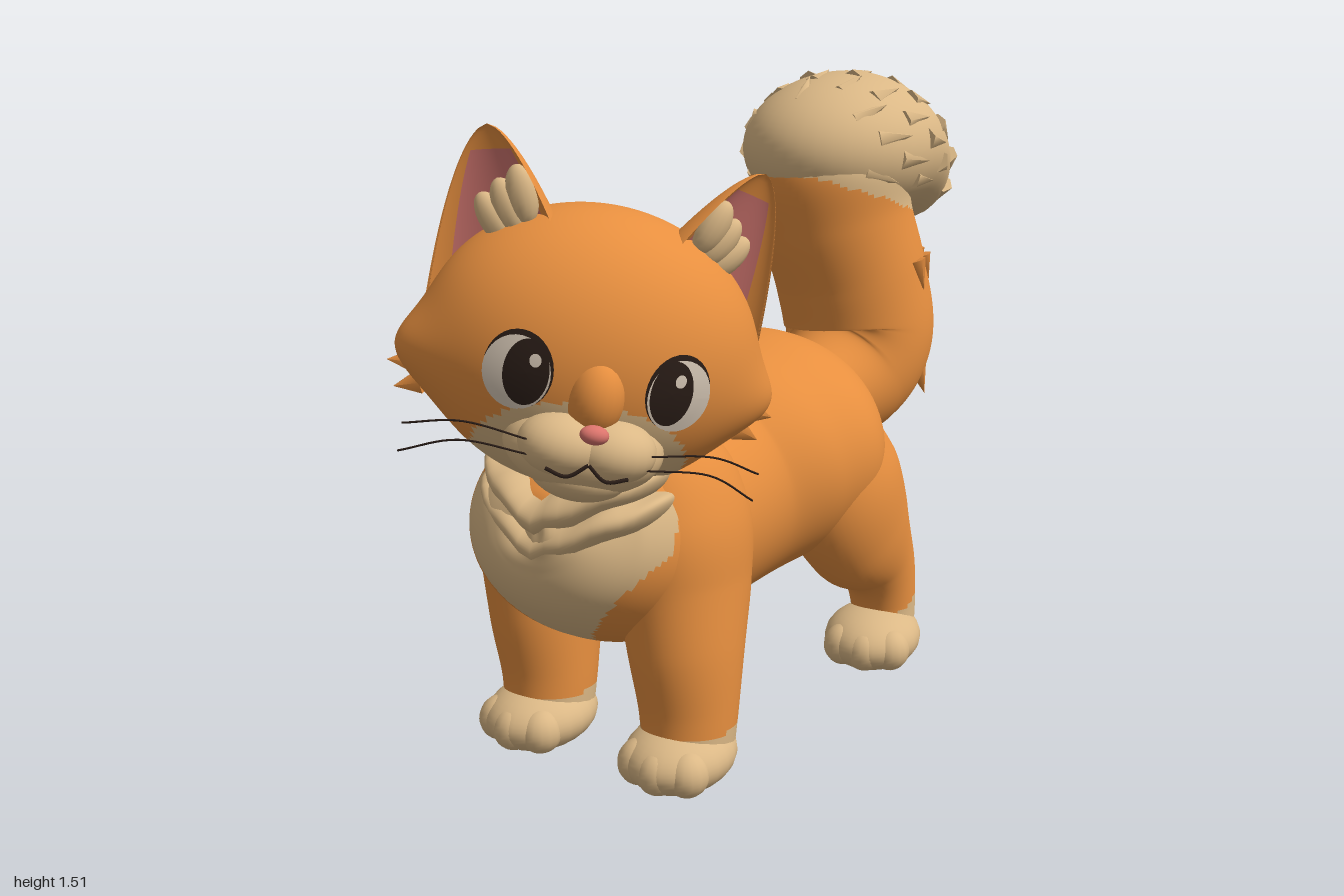
import * as THREE from 'three';

const mat = (name, color) => {
  const m = new THREE.MeshStandardMaterial({ color });
  m.name = name;
  return m;
};
const orange = mat('orange fur', 0xe78f3f);
const cream = mat('cream fur', 0xdbb886);
const pink = mat('inner ear pink', 0xd27670);
const nosePink = mat('nose pink', 0xdb746c);
const dark = mat('dark brown', 0x2a1d17);
const eyeWhite = mat('eye white', 0xd9cab8);
const V = (x, y, z) => new THREE.Vector3(x, y, z);

// Closed-in-u grid surface; rule(point, u, v) picks a material index per quad
function surface(name, fn, nu, nv, mats, rule = () => 0) {
  const pos = [], faces = [[], []];
  for (let j = 0; j <= nv; j++)
    for (let i = 0; i < nu; i++) pos.push(...fn(i / nu, j / nv).toArray());
  for (let j = 0; j < nv; j++)
    for (let i = 0; i < nu; i++) {
      const k = (i + 1) % nu;
      const a = j * nu + i, b = j * nu + k, c = b + nu, d = a + nu;
      const u = (i + 0.5) / nu, v = (j + 0.5) / nv;
      faces[rule(fn(u, v), u, v)].push(a, b, c, a, c, d);
    }
  const g = new THREE.BufferGeometry();
  g.setAttribute('position', new THREE.Float32BufferAttribute(pos, 3));
  g.setIndex([...faces[0], ...faces[1]]);
  g.addGroup(0, faces[0].length, 0);
  if (faces[1].length) g.addGroup(faces[0].length, faces[1].length, 1);
  g.computeVertexNormals();
  const mesh = new THREE.Mesh(g, mats);
  mesh.name = name;
  return mesh;
}

// Elliptical tube through stations [x, y, z, radiusAcross, radiusOther]
function loft(name, stations, mats, rule, nu = 48, nv = 64) {
  const curve = (f) => new THREE.CatmullRomCurve3(stations.map(f), false, 'catmullrom', 0.5);
  const path = curve((s) => V(s[0], s[1], s[2])), radii = curve((s) => V(s[3], s[4], 0));
  return surface(name, (u, v) => {
    const t = path.getTangent(v), r = radii.getPoint(v), a = u * Math.PI * 2;
    const e1 = V(1, 0, 0).addScaledVector(t, -t.x).normalize();
    const e2 = t.clone().cross(e1);
    return path.getPoint(v)
      .addScaledVector(e1, Math.max(0, r.x) * Math.cos(a))
      .addScaledVector(e2, Math.max(0, r.y) * Math.sin(a));
  }, nu, nv, mats, rule);
}

// Ellipsoid whose points may be moved by a rule
function blob(name, [rx, ry, rz], at, mats, deform = (p) => p, rule, n = 24) {
  const mesh = surface(name, (u, v) => {
    const a = u * Math.PI * 2, r = Math.sin(Math.PI * v);
    return deform(V(rx * r * Math.sin(a), -ry * Math.cos(Math.PI * v), rz * r * Math.cos(a)));
  }, n, n, mats, rule);
  mesh.position.set(...at);
  return mesh;
}

function tuft(at, dir, width, length, material) {
  const m = new THREE.Mesh(new THREE.ConeGeometry(width, length, 6), material);
  m.name = 'furTuft';
  m.position.copy(at);
  m.quaternion.setFromUnitVectors(V(0, 1, 0), dir.clone().normalize());
  return m;
}

function tube(name, points, radius, material) {
  const curve = new THREE.CatmullRomCurve3(points.map((p) => V(...p)));
  const m = new THREE.Mesh(new THREE.TubeGeometry(curve, 16, radius, 6), material);
  m.name = name;
  return m;
}

function makePaw(x, z, turn) {
  const paw = new THREE.Group();
  paw.name = 'paw';
  paw.add(blob('pawPad', [0.126, 0.08, 0.15], [0, 0.065, 0], [cream],
    (p) => V(p.x, Math.max(p.y, -0.06), p.z)));
  for (const i of [-1, 0, 1])
    paw.add(blob('toe', [0.052, 0.055, 0.055], [i * 0.062, 0.062, 0.098 - Math.abs(i) * 0.022], [cream], undefined, undefined, 16));
  paw.position.set(x, 0, z);
  paw.rotation.y = turn;
  return paw;
}

function makeBody() {
  const body = new THREE.Group();
  body.name = 'body';
  const bib = (p) => p.z > 0.3 && p.y > 0.3 && p.y < 0.7 && Math.abs(p.x + 0.02) < Math.min(0.25, (p.y - 0.29) * 0.85);
  const belly = (p) => p.y < 0.35 && p.z > -0.14 && p.z < 0.24;
  body.add(loft('torso', [
    [0, 0.59, -0.44, 0, 0], [0, 0.59, -0.425, 0.12, 0.11], [0, 0.6, -0.36, 0.25, 0.215],
    [0, 0.605, -0.2, 0.355, 0.29], [-0.005, 0.595, -0.05, 0.345, 0.3], [-0.02, 0.565, 0.1, 0.3, 0.29],
    [-0.03, 0.555, 0.25, 0.295, 0.29], [-0.04, 0.56, 0.4, 0.315, 0.29], [-0.04, 0.58, 0.53, 0.3, 0.26],
    [-0.03, 0.61, 0.66, 0.22, 0.19], [-0.02, 0.635, 0.735, 0.11, 0.09], [-0.02, 0.64, 0.75, 0, 0],
  ], [orange, cream], (p) => (bib(p) || belly(p) ? 1 : 0), 112, 140));

  // Layered V-shaped chest ruff
  for (const [w, y, z, d] of [[0.2, 0.56, 0.59, 0.155], [0.235, 0.635, 0.59, 0.178], [0.22, 0.7, 0.59, 0.175]])
    body.add(blob('chestRuff', [w, 0.065, d], [-0.015, y, z], [cream],
      (p) => V(p.x, p.y + Math.abs(p.x) * 0.45 - 0.04 + 0.005 * Math.sin(p.x * 55), p.z), undefined, 40));

  const sock = (p) => (p.y < 0.13 ? 1 : 0);
  const hindSock = (p) => (p.y < 0.1 - (p.z + 0.25) * 0.5 ? 1 : 0);
  for (const s of [1, -1]) {
    body.add(loft('frontLeg', [
      [s * 0.2, 0.04, 0.48, 0.105, 0.11], [s * 0.2 - 0.005, 0.16, 0.465, 0.115, 0.12],
      [s * 0.2 - 0.02, 0.3, 0.45, 0.13, 0.15], [s * 0.195 - 0.04, 0.45, 0.42, 0.145, 0.185],
      [s * 0.185 - 0.045, 0.6, 0.41, 0.145, 0.195], [s * 0.14 - 0.045, 0.74, 0.41, 0.11, 0.14],
      [s * 0.1 - 0.045, 0.8, 0.41, 0, 0],
    ], [orange, cream], sock));
    body.add(makePaw(s * 0.2, 0.51, s * 0.05));
    body.add(loft('hindLeg', [
      [s * 0.285, 0.04, -0.36, 0.085, 0.08], [s * 0.28, 0.15, -0.37, 0.088, 0.085],
      [s * 0.27, 0.26, -0.345, 0.1, 0.115], [s * 0.25, 0.38, -0.265, 0.13, 0.175],
      [s * 0.225, 0.53, -0.195, 0.145, 0.195], [s * 0.18, 0.68, -0.17, 0.115, 0.15],
      [s * 0.12, 0.78, -0.17, 0.05, 0.07], [s * 0.1, 0.8, -0.17, 0, 0],
    ], [orange, cream], hindSock));
    body.add(makePaw(s * 0.285, -0.305, s * 0.25));
  }
  body.position.set(-0.035, 0, 0.01);
  body.rotation.y = 0.27;
  return body;
}

function makeTail() {
  const tail = new THREE.Group();
  tail.name = 'tail';
  const patch = (p) => p.z < -0.68 && p.y < 0.86 + 0.03 * Math.sin(p.x * 50) && Math.abs(p.x + 0.15) < 0.15;
  tail.add(loft('tailStem', [
    [-0.1, 0.66, -0.36, 0.13, 0.13], [-0.13, 0.7, -0.53, 0.185, 0.18], [-0.15, 0.8, -0.615, 0.21, 0.2],
    [-0.17, 0.96, -0.6, 0.21, 0.205], [-0.19, 1.12, -0.56, 0.205, 0.21],
    [-0.21, 1.26, -0.55, 0.215, 0.21], [-0.22, 1.36, -0.57, 0.12, 0.12],
  ], [orange, cream], (p) => (patch(p) || p.y > 1.27 + (p.z + 0.33) * 0.35 ? 1 : 0), 72, 90));

  // Fluffy drooping tip covered in short tufts that sweep backwards
  const tip = new THREE.Group();
  tip.name = 'tailTip';
  const droop = (p) => V(p.x, p.y - 1.75 * Math.min(p.z, 0) ** 2, p.z);
  tip.add(blob('tipFluff', [0.268, 0.2, 0.335], [0, 0, 0], [cream], droop, undefined, 40));
  for (let k = 0; k < 80; k++) {
    const y = 1 - (2 * (k + 0.5)) / 80, a = k * 2.39996, r = Math.sqrt(1 - y * y);
    const n = V(r * Math.cos(a), y, r * Math.sin(a));
    if (n.y < -0.5 || n.z > 0.6) continue;
    const sweep = V(0, Math.min(0, n.z) * 1.2 - 0.1, -1);
    const back = sweep.clone().addScaledVector(n, 0.2 - n.dot(sweep));
    tip.add(tuft(droop(V(n.x * 0.258, n.y * 0.19, n.z * 0.325)), back, 0.032, 0.1, cream));
  }
  tip.position.set(-0.24, 1.305, -0.655);
  tip.rotation.y = 0.24;
  tail.add(tip);

  // Tufts down the back of the stem
  for (let k = 0; k < 24; k++) {
    const row = Math.floor(k / 6), a = ((k % 6) - 2.5 + (row % 2) * 0.5) * 0.42;
    const at = V(-0.16 + 0.2 * Math.sin(a), 0.68 + row * 0.1, -0.6 - 0.19 * Math.cos(a));
    tail.add(tuft(at, V(Math.sin(a) * 0.25, -1, -0.2), 0.028, 0.085, row < 2 && Math.abs(a) < 0.8 ? cream : orange));
  }
  return tail;
}

function makeEar(s) {
  const ear = new THREE.Group();
  ear.name = s > 0 ? 'leftEar' : 'rightEar';
  // Deep rounded back, scooped pink front
  ear.add(surface('earShell', (u, v) => {
    const a = u * Math.PI * 2, c = Math.cos(a), t = (1 - v) ** 0.6;
    return V(0.175 * t * Math.sin(a), v * 0.365, t * (c > 0.01 ? 0.035 - 0.08 * c : 0.15 * c));
  }, 56, 40, [orange, pink], (p, u, v) =>
    (Math.cos(u * Math.PI * 2) > 0.62 && v > 0.2 && v < 0.86 ? 1 : 0)));
  for (const i of [0, 1, 2]) {
    const t = blob('earTuft', [0.034, 0.065, 0.03], [-s * (0.06 - i * 0.032), 0.215 - i * 0.025, 0], [cream], undefined, undefined, 14);
    t.rotation.z = -s * (0.1 + i * 0.2);
    ear.add(t);
  }
  ear.position.set(s * 0.2, 0.085, 0.022);
  ear.rotation.set(0, s * 0.38, -s * 0.27, 'ZYX');
  return ear;
}

function makeHead() {
  const head = new THREE.Group();
  head.name = 'head';
  const R = [0.365, 0.31, 0.3], flat = 0.9;
  const faceZ = (x, y) => flat * R[2] * Math.sqrt(Math.max(0, 1 - (x / R[0]) ** 2 - (y / R[1]) ** 2));
  // Pointed cheeks and a flattened face
  const shape = (p) => V(
    p.x + Math.sign(p.x) * 0.07 * Math.exp(-(((p.y + 0.09) / 0.1) ** 2)) * (Math.abs(p.x) / R[0]) ** 8,
    p.y, p.z > 0 ? p.z * flat : p.z);
  const mask = (p) => (p.z > 0.03 && (p.x / 0.23) ** 2 + ((p.y + 0.21) / 0.155) ** 2 < 1 ? 1 : 0);
  head.add(blob('skull', R, [0, 0, 0], [orange, cream], shape, mask, 100));

  // Muzzle, nose and mouth
  head.add(blob('muzzle', [0.17, 0.1, 0.13], [0, -0.165, 0.185], [cream], undefined, undefined, 32));
  head.add(blob('noseBridge', [0.062, 0.085, 0.07], [0, -0.045, 0.235], [orange]));
  head.add(blob('chin', [0.11, 0.065, 0.1], [0, -0.215, 0.195], [cream]));
  head.add(blob('nose', [0.03, 0.02, 0.022], [0, -0.1, 0.325], [nosePink]));
  const arc = (s) => [[0, -0.165, 0.323], [s * 0.04, -0.195, 0.322], [s * 0.085, -0.185, 0.317]];

  // Thin plates laid over the face
  const plate = (name, material, cx, cy, rx, ry, lift) => {
    const g = new THREE.RingGeometry(0, 1, 32, 4), p = g.attributes.position;
    for (let i = 0; i < p.count; i++) {
      const x = cx + p.getX(i) * rx, y = cy + p.getY(i) * ry;
      p.setXYZ(i, x, y, faceZ(x, y) + lift);
    }
    g.computeVertexNormals();
    const m = new THREE.Mesh(g, material);
    m.name = name;
    head.add(m);
  };
  for (const s of [1, -1]) {
    head.add(blob('muzzlePuff', [0.095, 0.068, 0.085], [s * 0.05, -0.15, 0.245], [cream]));
    head.add(tube('mouth', arc(s), 0.004, dark));
    plate('eyeRim', dark, s * 0.165, -0.012, 0.07, 0.083, 0.004);
    plate('eyeWhite', eyeWhite, s * 0.168, -0.018, 0.068, 0.078, 0.008);
    plate('iris', dark, s * 0.15, -0.012, 0.046, 0.07, 0.012);
    plate('eyeGlint', eyeWhite, s * 0.15 + 0.014, 0.018, 0.012, 0.014, 0.016);
    for (const i of [0, 1])
      head.add(tube('whisker', [[s * 0.12, -0.14 - i * 0.03, 0.29], [s * 0.26, -0.13 - i * 0.04, 0.26], [s * 0.375, -0.17 - i * 0.06, 0.2]], 0.0022, dark));
    for (const i of [0, 1, 2])
      head.add(tuft(V(s * (0.395 - Math.abs(i - 1) * 0.02), -0.04 - i * 0.05, 0.01), V(s, -0.25 * i + 0.1, -0.1), 0.03, 0.06, orange));
    head.add(makeEar(s));
  }
  head.position.set(0.14, 1.02, 0.56);
  head.rotation.set(0, 0.97, -0.2);
  return head;
}

export function createModel() {
  const cat = new THREE.Group();
  cat.name = 'cat';
  cat.add(makeBody(), makeTail(), makeHead());
  return cat;
}
